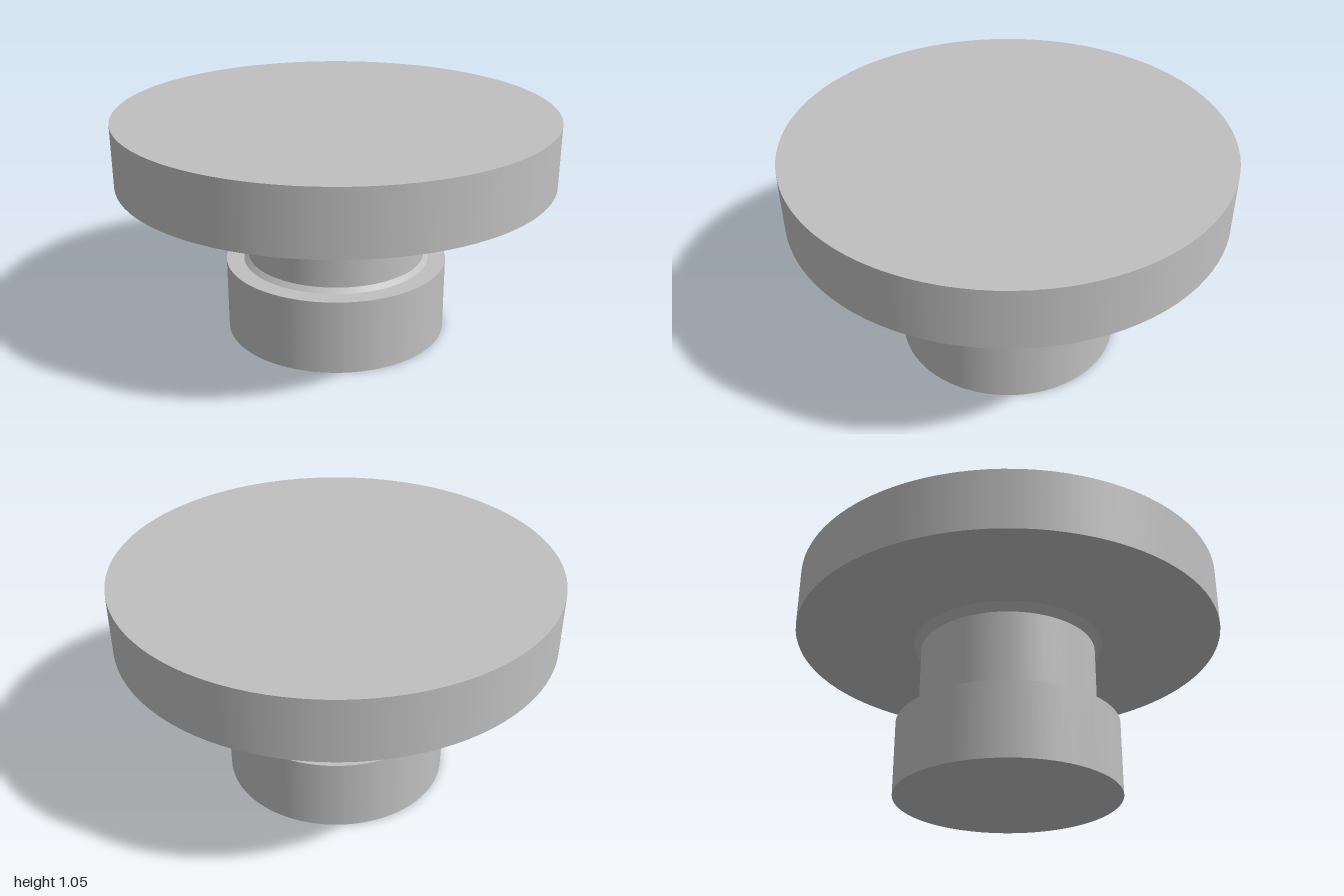
import * as THREE from 'three';

const SEGMENTS = 96;

export function createModel() {
  const model = new THREE.Group();
  model.name = 'flangedKnob';
  const grey = new THREE.MeshStandardMaterial({ color: 0xc0c0c0 });
  grey.name = 'plain grey';

  // One turned section between two heights; open sections have no end caps
  function section(name, bottomRadius, topRadius, y0, y1, open) {
    const geometry = new THREE.CylinderGeometry(topRadius, bottomRadius, y1 - y0, SEGMENTS, 1, open);
    const mesh = new THREE.Mesh(geometry, grey);
    mesh.name = name;
    mesh.position.y = (y0 + y1) / 2;
    model.add(mesh);
  }

  // Flat ring joining two radii, facing up or down
  function shoulder(name, inner, outer, y, up) {
    const mesh = new THREE.Mesh(new THREE.RingGeometry(inner, outer, SEGMENTS), grey);
    mesh.name = name;
    mesh.rotation.x = up ? -Math.PI / 2 : Math.PI / 2;
    mesh.position.y = y;
    model.add(mesh);
  }

  // Flat end disc, facing up or down
  function endFace(name, radius, y, up) {
    const mesh = new THREE.Mesh(new THREE.CircleGeometry(radius, SEGMENTS), grey);
    mesh.name = name;
    mesh.rotation.x = up ? -Math.PI / 2 : Math.PI / 2;
    mesh.position.y = y;
    model.add(mesh);
  }

  // Base drum
  endFace('baseUnderside', 0.517, 0, false);
  section('baseWall', 0.517, 0.517, 0, 0.345, true);
  shoulder('baseShoulder', 0.435, 0.517, 0.345, true);

  // Neck with a bevel at each end
  section('lowerBevel', 0.435, 0.414, 0.345, 0.366, true);
  section('neck', 0.414, 0.414, 0.366, 0.728, true);
  section('upperBevel', 0.414, 0.449, 0.728, 0.762, true);

  // Wide top disc
  shoulder('discUnderside', 0.449, 1, 0.762, false);
  section('discRim', 1, 1, 0.762, 1.047, true);
  endFace('discTop', 1, 1.047, true);

  return model;
}
